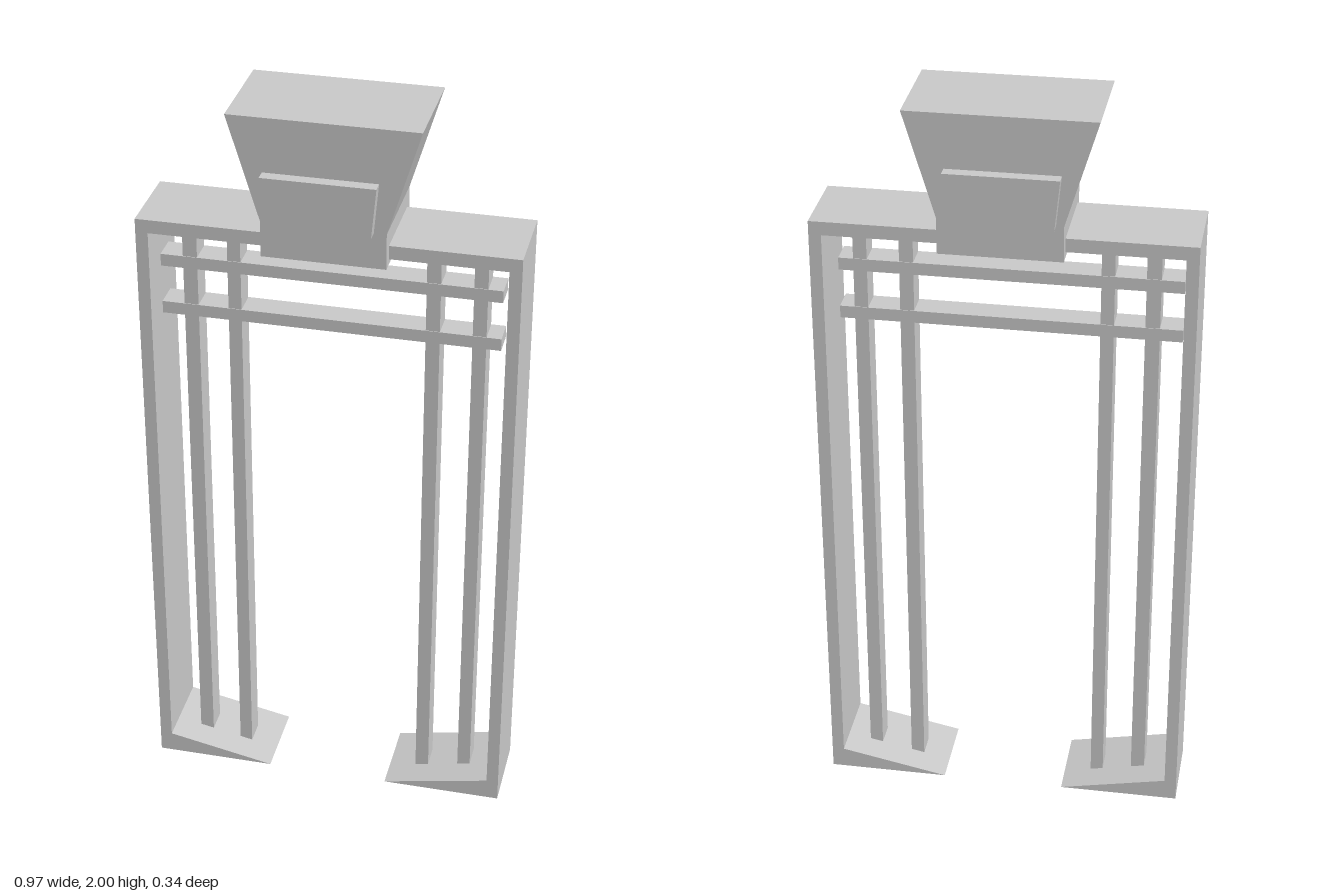
import * as THREE from 'three';

const material = new THREE.MeshStandardMaterial({ color: 0xcccccc, flatShading: true });

// Straight extrusion of an x-y outline, centred on z = 0
function slab(name, points, depth) {
  const shape = new THREE.Shape(points.map(([x, y]) => new THREE.Vector2(x, y)));
  const geometry = new THREE.ExtrudeGeometry(shape, { depth, bevelEnabled: false });
  geometry.translate(0, 0, -depth / 2);
  const mesh = new THREE.Mesh(geometry, material);
  mesh.name = name;
  return mesh;
}

// Box given by its x and y limits, centred on z = 0
function bar(name, x0, x1, y0, y1, depth) {
  const mesh = new THREE.Mesh(new THREE.BoxGeometry(x1 - x0, y1 - y0, depth), material);
  mesh.name = name;
  mesh.position.set((x0 + x1) / 2, (y0 + y1) / 2, 0);
  return mesh;
}

// Completes a right-hand half outline with its mirror image
const mirrored = (half) => [...half, ...half.map(([x, y]) => [-x, y]).reverse()];

export function createModel() {
  const model = new THREE.Group();
  model.name = 'gateFrame';

  // Outer frame: top beam, side walls and wedge-shaped feet in one outline
  model.add(slab('frame', mirrored([
    [0.453, 1.647], [0.453, 0.06], [0.165, 0.002], [0.485, 0.002], [0.485, 1.683],
  ]), 0.218));

  // Flared block on top of the beam
  model.add(slab('head', mirrored([
    [0.157, 1.632], [0.157, 1.727], [0.24, 2],
  ]), 0.273));

  // Tapered plate through the block, showing on the front and back
  model.add(slab('headPlate', [
    [-0.137, 1.727], [0.125, 1.727], [0.137, 1.858], [-0.15, 1.858],
  ], 0.335));

  // Upright posts, a pair on each side
  const posts = [
    ['rightOuterPost', -0.388, -0.351, 0],
    ['rightInnerPost', -0.272, -0.238, 0.004],
    ['leftInnerPost', 0.238, 0.274, 0.004],
    ['leftOuterPost', 0.357, 0.392, 0],
  ];
  for (const [name, x0, x1, y0] of posts) model.add(bar(name, x0, x1, y0, 1.65, 0.066));

  // Horizontal rails crossing the posts
  model.add(bar('upperRail', -0.446, 0.43, 1.52, 1.553, 0.07));
  model.add(bar('lowerRail', -0.446, 0.43, 1.385, 1.418, 0.07));

  return model;
}
